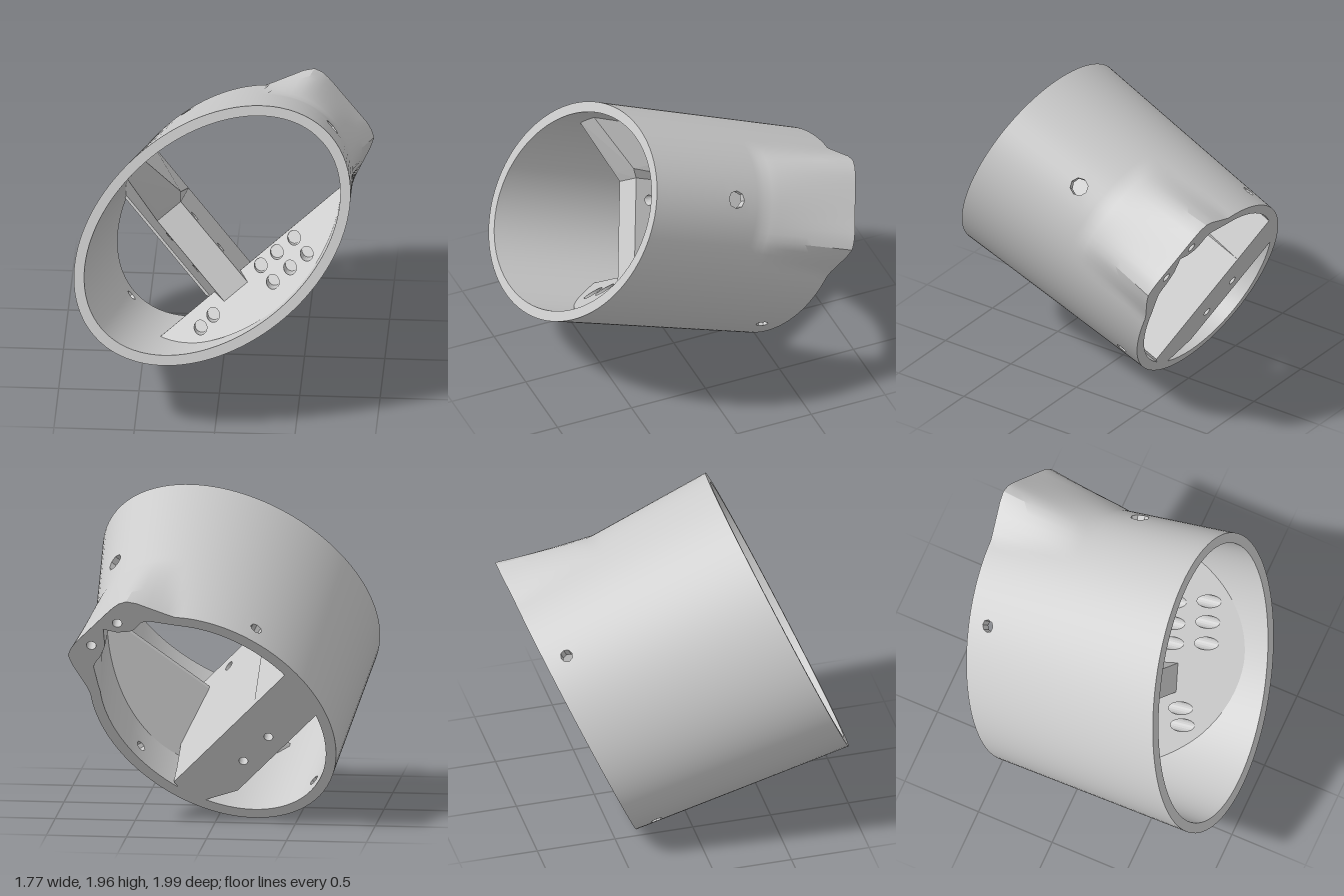
import * as THREE from 'three';
import { toCreasedNormals } from 'three/addons/utils/BufferGeometryUtils.js';
import { ConvexGeometry } from 'three/addons/geometries/ConvexGeometry.js';

const W = 0.705, COLS = 120, ROWS = 28;
const grey = new THREE.MeshStandardMaterial({ color: 0xcccccc });
const greyBoth = new THREE.MeshStandardMaterial({ color: 0xcccccc, side: THREE.DoubleSide });
const clamp = THREE.MathUtils.clamp, lerp = THREE.MathUtils.lerp;
const V2 = (x, y) => new THREE.Vector2(x, y);

// corner bump at the rear: outer outline and the pocket inside it
const BUMP = [[0.77, 0.2], [0.87, 0.4], [0.885, 0.45], [0.86, 0.52], [0.6, 0.81], [0.53, 0.87], [0.47, 0.872], [0.42, 0.85], [0.2, 0.757]];
const POCKET = [[0.7, 0.2], [0.73, 0.38], [0.68, 0.45], [0.65, 0.53], [0.655, 0.655], [0.55, 0.63], [0.47, 0.65], [0.4, 0.73], [0.15, 0.69]];

// distance from the origin to an open outline along angle phi
function outlineRadius(pts, phi) {
  const c = Math.cos(phi), s = Math.sin(phi);
  for (let k = 0; k < pts.length - 1; k++) {
    const [ax, ay] = pts[k], [bx, by] = pts[k + 1];
    const da = c * ay - s * ax, db = c * by - s * bx;
    if (da <= 0 && db > 0) {
      const t = da / (da - db);
      return c * lerp(ax, bx, t) + s * lerp(ay, by, t);
    }
  }
  return 0;
}

function ellipseRadius(a, b, phi) {
  return 1 / Math.hypot(Math.cos(phi) / a, Math.sin(phi) / b);
}

// point on the outer or inner skin of the sleeve
function skin(phi, w, inner) {
  const f = (w + W) / (2 * W);
  const a = lerp(0.868, 0.968, f), b = lerp(0.635, 0.682, f), tilt = lerp(0.785, 0.723, f);
  let r = ellipseRadius(a, b, phi - tilt);
  r += Math.max(0, outlineRadius(BUMP, phi) - r) * clamp((-0.1 - w) / 0.605, 0, 1) ** 0.8;
  if (inner) {
    const e = ellipseRadius(a - 0.065, b - 0.065, phi - tilt);
    const pocket = Math.max(0, outlineRadius(POCKET, phi) - e) * clamp((0.6 - w) / 0.6, 0, 1);
    r = Math.min(e + pocket, r - 0.03);
  }
  return [-0.035 * f + r * Math.cos(phi), -0.055 * f + r * Math.sin(phi), w];
}

// sleeve wall: grid over angle and length, with octagonal screw holes
function sleeveGeometry() {
  const grid = [];
  for (let j = 0; j <= ROWS; j++)
    for (let i = 0; i < COLS; i++) grid.push([i / COLS * Math.PI * 2, -W + 2 * W * j / ROWS]);
  const id = (i, j) => j * COLS + (i + COLS) % COLS;
  const index = [], N = grid.length, open = new Set();
  const quad = (a, b, c, d) => index.push(a, b, c, a, c, d);
  const ring = [[1, 0], [1, 1], [0, 1], [-1, 1], [-1, 0], [-1, -1], [0, -1], [1, -1]];
  const holes = [[0.53, -0.36, -0.565, 0.038], [-0.645, -0.61, -0.565, 0.038], [-0.27, 0.57, -0.565, 0.038], [0.71, 0.64, 0.105, 0.058]];
  for (const [x, y, w, r] of holes) {
    const phi = (Math.atan2(y, x) + Math.PI * 2) % (Math.PI * 2), R = Math.hypot(x, y);
    const i0 = Math.round(phi / (Math.PI * 2) * COLS), j0 = Math.round((w + W) / (2 * W) * ROWS);
    ring.forEach(([di, dj], k) => {
      const t = Math.atan2(dj, di);
      grid[id(i0 + di, j0 + dj)] = [phi + r * Math.cos(t) / R, w + r * Math.sin(t)];
      const [ei, ej] = ring[(k + 1) % 8];
      const p = id(i0 + di, j0 + dj), q = id(i0 + ei, j0 + ej);
      quad(p, q, q + N, p + N);
    });
    for (const di of [-1, 0]) for (const dj of [-1, 0]) open.add(id(i0 + di, j0 + dj));
  }
  for (let i = 0; i < COLS; i++) {
    for (let j = 0; j < ROWS; j++) {
      if (open.has(id(i, j))) continue;
      const a = id(i, j), b = id(i + 1, j), c = id(i + 1, j + 1), d = id(i, j + 1);
      quad(a, b, c, d);
      quad(a + N, d + N, c + N, b + N);
    }
    const p = id(i, ROWS), q = id(i + 1, ROWS);
    quad(p, q, q + N, p + N);
  }
  const pos = [false, true].flatMap(inner => grid.flatMap(([phi, w]) => skin(phi, w, inner)));
  const geo = new THREE.BufferGeometry();
  geo.setAttribute('position', new THREE.Float32BufferAttribute(pos, 3));
  geo.setIndex(index);
  return toCreasedNormals(geo, 0.5);
}

function circle(x, y, r) {
  return new THREE.Path().absarc(x, y, r, 0, Math.PI * 2, true);
}

// prism whose end faces follow back(x, y) and front(x, y); place() may move the points into another frame
function slab(points, holes, back, front, place = (x, y, z) => [x, y, z]) {
  const shape = new THREE.Shape(points);
  shape.holes = holes;
  const geo = new THREE.ExtrudeGeometry(shape, { depth: 1, bevelEnabled: false, curveSegments: 10 });
  const p = geo.attributes.position;
  for (let i = 0; i < p.count; i++) {
    const x = p.getX(i), y = p.getY(i);
    p.setXYZ(i, ...place(x, y, p.getZ(i) > 0.5 ? front(x, y) : back(x, y)));
  }
  geo.computeVertexNormals();
  return geo;
}

export function createModel() {
  const model = new THREE.Group();
  const body = new THREE.Group();
  body.name = 'tiltedSleeve';
  body.rotation.x = -0.415;
  body.position.y = 0.98;
  model.add(body);
  const add = (name, geo, mat = grey) => {
    const mesh = new THREE.Mesh(geo, mat);
    mesh.name = name;
    body.add(mesh);
  };

  add('sleeveWall', sleeveGeometry());

  // rear end face with two blind screw holes in the corner bump
  const rim = inner => Array.from({ length: COLS }, (_, i) => {
    const [x, y] = skin(i / COLS * Math.PI * 2, -W, inner);
    return V2(x, y);
  });
  const face = new THREE.Shape(rim(false));
  const screws = [[0.566, 0.705], [0.735, 0.53]];
  face.holes = [new THREE.Path(rim(true)), ...screws.map(([x, y]) => circle(x, y, 0.03))];
  add('rearFace', new THREE.ShapeGeometry(face, 10).translate(0, 0, -W), greyBoth);
  for (const [x, y] of screws) {
    const bore = new THREE.CylinderGeometry(0.03, 0.03, 0.2, 20, 1, true).rotateX(Math.PI / 2);
    add('screwBore', bore.translate(x, y, -W + 0.1), greyBoth);
  }

  // cross bar: s runs along it, q across it
  const bar = (s, q) => V2(-0.405 + 0.658 * s + 0.753 * q, -0.022 - 0.753 * s + 0.658 * q);
  const boltPlaces = [0.13, 0.38];
  const rearHoles = boltPlaces.map(s => bar(s, -0.03)).map(p => circle(p.x, p.y, 0.028));
  add('crossBarRear', slab([bar(-0.24, -0.145), bar(0.58, -0.145), bar(0.85, 0), bar(0.8, 0.19), bar(-0.33, 0.19)],
    rearHoles, () => -W, () => -0.6));
  // main part with a slanted flank and two holes straight across
  add('crossBar', slab([V2(-0.6, -0.24), V2(0.2, 0), V2(0.2, 0.68), V2(-0.6, 0.68)],
    boltPlaces.map(s => circle(0.1, s, 0.032)), w => (w - 0.2) * 0.16, () => 0.19,
    (w, s, q) => {
      const p = bar(s > 0.5 ? s + 0.6 * q : s, q);
      return [p.x, p.y, w];
    }));

  // block joining the bar to the wall
  const at = (s, q, w) => [...bar(s, q).toArray(), w];
  const block = [[-0.4, 0.043, 0.25], [-0.26, 0.17, 0.25], [-0.48, 0.39, 0.55], [-0.585, 0.275, 0.55],
    at(0, 0, 0.2), at(0, 0.19, 0.2), at(0, -0.14, -W), at(0, 0.19, -W), at(-0.24, -0.145, -W), at(-0.33, 0.19, -W)];
  add('barBlock', new ConvexGeometry(block.map(p => new THREE.Vector3(...p))));

  // perforated shelf against the lower wall: a runs along it, p towards the wall
  const shelf = (a, p) => V2(-0.02 + 0.75 * a + 0.66 * p, -0.03 + 0.66 * a - 0.75 * p);
  const edge = 0.31, outline = [], tEnd = Math.asin(edge / 0.62);
  for (let k = 0; k <= 28; k++) {
    const t = lerp(Math.PI - tEnd, tEnd, k / 28);
    outline.push(shelf(0.89 * Math.cos(t), 0.62 * Math.sin(t)));
  }
  const plane = (start, slope) => (x, y) => start + slope * ((x + 0.02) * 0.66 - (y + 0.03) * 0.75 - edge);
  const shelfHoles = [[0.03, 0.365], [0.16, 0.365], [0.3, 0.365], [0.04, 0.485], [0.18, 0.485], [0.315, 0.485], [-0.39, 0.41], [-0.5, 0.42]]
    .map(([a, p]) => shelf(a, p)).map(p => circle(p.x, p.y, 0.042));
  const floor = plane(0.06, 0.3);
  add('perforatedShelf', slab(outline, shelfHoles, floor, plane(0.08, 1.5)));
  add('shelfSupport', slab(outline, [], plane(0.05, -1.6), floor));

  return model;
}
